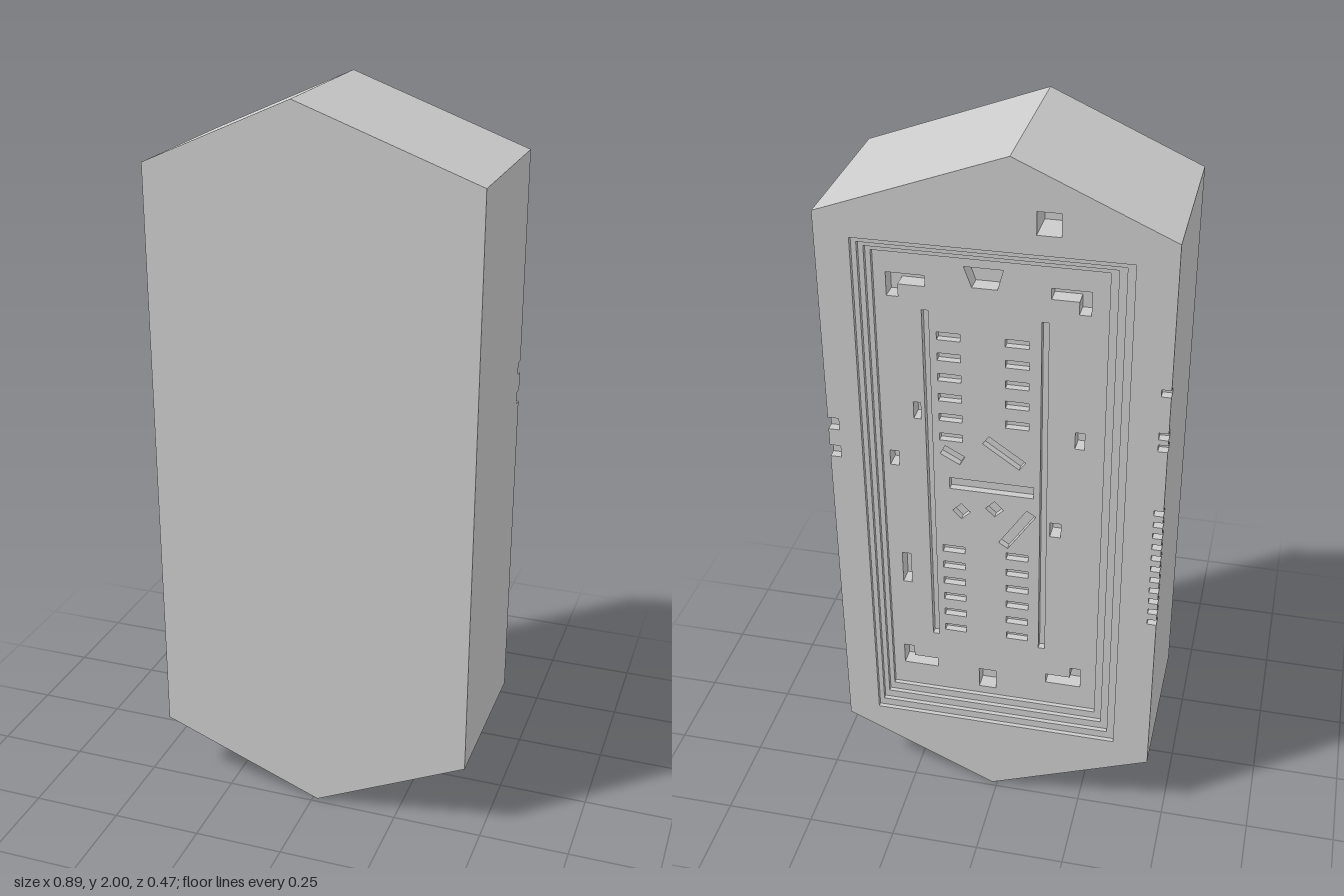
import * as THREE from 'three';

const BACK = -0.2375, FRONT = 0.2375;

// closed path from corner points
const path = (pts) => new THREE.Path(pts.map(([x, y]) => new THREE.Vector2(x, y)));

// rectangle centred on x, y, turned by an angle
function rect(x, y, w, h, angle = 0) {
  const c = Math.cos(angle), s = Math.sin(angle);
  return [[-1, -1], [1, -1], [1, 1], [-1, 1]].map(([i, j]) => {
    const a = i * w / 2, b = j * h / 2;
    return [x + a * c - b * s, y + a * s + b * c];
  });
}

// six-sided block outline, with small notches in the two long edges if wanted
function outline(notched) {
  const pts = [[-0.447, 0.18], [0.014, 0], [0.447, 0.2]];
  const notch = (side, y, h, d) => {
    const x = side * 0.447, inner = side * (0.447 - d), s = side * h / 2;
    pts.push([x, y - s], [inner, y - s], [inner, y + s], [x, y + s]);
  };
  if (notched) for (const y of [1.133, 1.218]) notch(1, y, 0.035, 0.03);
  pts.push([0.447, 1.82], [-0.043, 2], [-0.447, 1.82]);
  if (notched) {
    for (const y of [1.42, 1.295, 1.26]) notch(-1, y, 0.02, 0.025);
    for (let i = 0; i < 11; i++) notch(-1, 1.06 - i * 0.036, 0.016, 0.025);
  }
  return pts;
}

export function createModel() {
  const group = new THREE.Group();
  const material = new THREE.MeshStandardMaterial({ color: 0xcccccc, flatShading: true });

  // one slab of the block between two depths, with holes
  function slab(name, z0, z1, holes, notched = false) {
    const shape = new THREE.Shape(path(outline(notched)).getPoints());
    shape.holes = holes.map(path);
    const geometry = new THREE.ExtrudeGeometry(shape, { depth: z1 - z0, bevelEnabled: false });
    geometry.translate(0, 0, z0);
    const mesh = new THREE.Mesh(geometry, material);
    mesh.name = name;
    group.add(mesh);
  }

  // square pocket in the rim above the recess
  const rimPocket = rect(-0.137, 1.84, 0.06, 0.06);

  // stepped rim around the recess
  const step = 0.0125;
  for (let i = 0; i < 4; i++) {
    const t = i / 3.5;
    const left = 0.357 - 0.047 * t, right = -0.345 + 0.075 * t;
    const bottom = 0.24 + 0.08 * t, top = 1.758 - 0.053 * t;
    const opening = [[right, bottom], [left, bottom], [left, top], [right, top]];
    slab('recessStep' + (i + 1), BACK + i * step, BACK + (i + 1) * step, [opening, rimPocket], i < 2);
  }

  // deep pockets at the ends and sides of the recess floor
  const deep = [
    rimPocket,
    [[0.0, 1.63], [0.065, 1.63], [0.085, 1.685], [-0.015, 1.685]],
    rect(0.037, 0.366, 0.05, 0.065),
    rect(0.285, 1.1, 0.025, 0.045),
    rect(0.265, 0.735, 0.025, 0.1),
    rect(0.217, 1.257, 0.02, 0.05),
    rect(-0.215, 1.22, 0.025, 0.05),
    rect(-0.155, 0.928, 0.03, 0.045),
  ];
  // L-shaped corner pockets
  for (const [cx, sx] of [[0.285, -1], [-0.235, 1]]) {
    for (const [cy, sy] of [[1.65, -1], [0.385, 1]]) {
      deep.push([[0, 0], [0.1, 0], [0.1, 0.03], [0.03, 0.03], [0.03, 0.065], [0, 0.065]]
        .map(([a, b]) => [cx + sx * a, cy + sy * b]));
    }
  }

  // shallow slots: two long grooves, four columns of vents, central cut-outs
  const shallow = [
    rect(0.187, 1.032, 0.018, 1.045),
    rect(-0.121, 1.032, 0.018, 1.045),
    rect(0.02, 1.04, 0.23, 0.035),
    rect(0.125, 1.13, 0.06, 0.03, 0.5),
    rect(-0.015, 1.155, 0.12, 0.03, 0.61),
    rect(-0.05, 0.913, 0.14, 0.03, -0.98),
    rect(0.104, 0.952, 0.035, 0.035, Math.PI / 4),
    rect(0.012, 0.972, 0.035, 0.035, Math.PI / 4),
  ];
  for (const x of [0.128, -0.05]) {
    for (let i = 0; i < 6; i++) {
      if (i < 5 || x > 0) shallow.push(rect(x, 1.485 - i * 0.06, 0.062, 0.022));
      shallow.push(rect(x, 0.82 - i * 0.056, 0.062, 0.022));
    }
  }

  // floor of the recess, then the solid block
  const floor = BACK + 4 * step;
  slab('recessFloor', floor, floor + 0.02, [...deep, ...shallow]);
  slab('pocketLayer', floor + 0.02, floor + 0.045, deep);
  slab('block', floor + 0.045, FRONT, []);
  return group;
}
